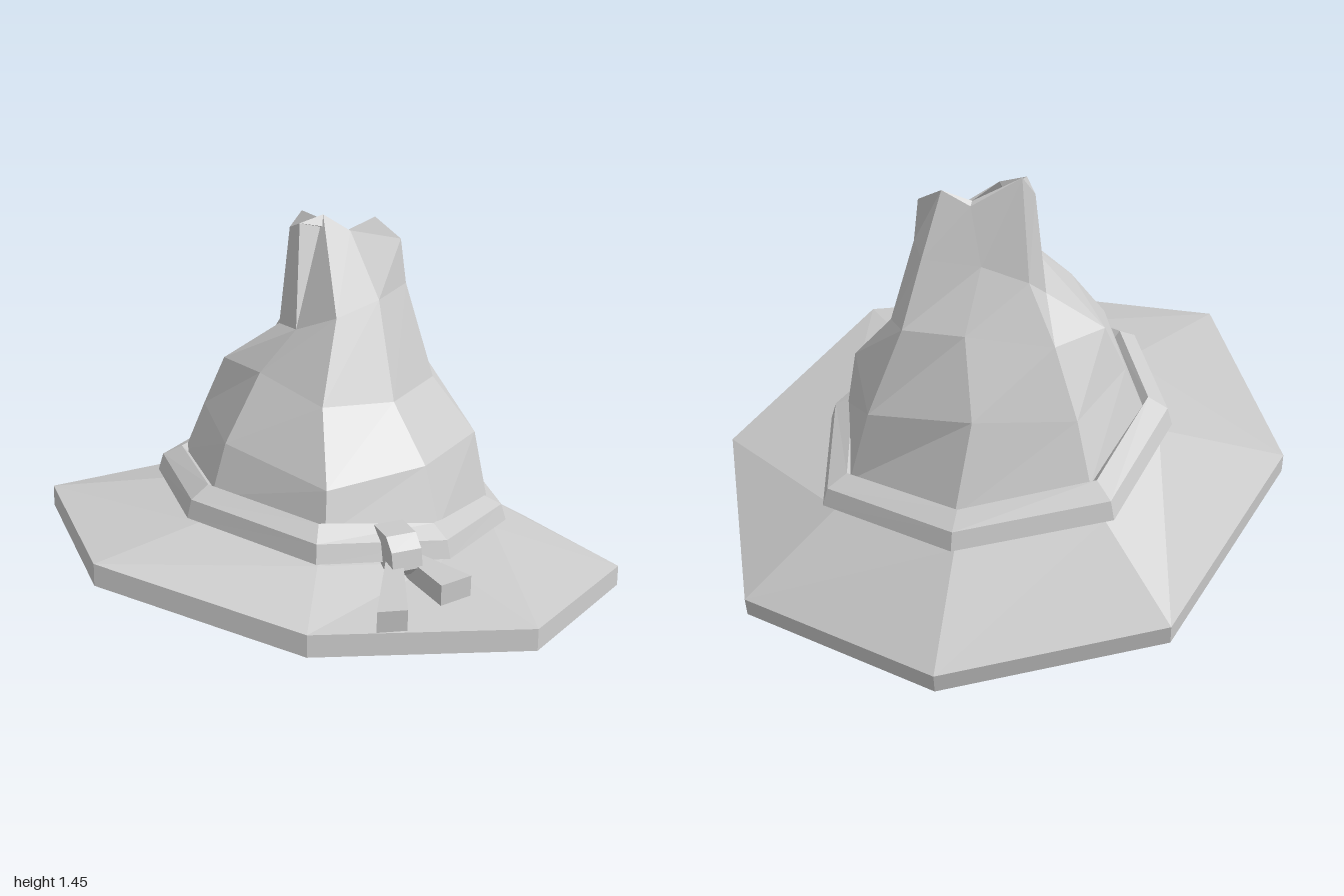
import * as THREE from 'three';

const material = new THREE.MeshStandardMaterial({ color: 0xcccccc, flatShading: true, side: THREE.DoubleSide });

// Skin a stack of equal-length rings of [x, y, z], running from +x towards +z
function loft(rings) {
  const pos = [];
  const same = (p, q) => p.every((v, k) => v === q[k]);
  const tri = (p, q, r) => {
    if (!same(p, q) && !same(q, r) && !same(r, p)) pos.push(...p, ...q, ...r);
  };
  for (let k = 0; k + 1 < rings.length; k++) {
    const a = rings[k], b = rings[k + 1], n = a.length;
    for (let i = 0; i < n; i++) {
      const j = (i + 1) % n;
      tri(a[j], a[i], b[i]);
      tri(a[j], b[i], b[j]);
    }
  }
  const g = new THREE.BufferGeometry();
  g.setAttribute('position', new THREE.Float32BufferAttribute(pos, 3));
  g.computeVertexNormals();
  return g;
}

const point = (p) => Array(8).fill(p);

// Tilted plane on which the band sits
const bandHeight = (x, z) => 0.465 - 0.12 * x + 0.13 * z;

// Octagon of the band, [x, z]
const bandOutline = [
  [0.6, -0.02], [0.41, 0.43], [0, 0.645], [-0.44, 0.41],
  [-0.62, -0.02], [-0.5, -0.5], [-0.01, -0.67], [0.48, -0.48],
];
const bandRing = (scale, lift) => bandOutline.map(([x, z]) =>
  [x * scale, bandHeight(x, z) + lift, z * scale]);

// Flat slab: outline of [x, z] corners raised from y by height h
function slab(outline, y, h) {
  const shape = new THREE.Shape(outline.map(([x, z]) => new THREE.Vector2(x, -z)));
  const g = new THREE.ExtrudeGeometry(shape, { depth: h, bevelEnabled: false });
  g.rotateX(-Math.PI / 2);
  g.translate(0, y, 0);
  return g;
}

export function createModel() {
  const hat = new THREE.Group();
  hat.name = 'hat';
  const add = (name, geometry) => {
    const mesh = new THREE.Mesh(geometry, material);
    mesh.name = name;
    hat.add(mesh);
    return mesh;
  };

  // Brim: tilted octagon with a thick rim, rising to the band
  const rim = [
    [1, 0.16, 0], [0.68, 0.35, 0.76], [0, 0.4, 0.935], [-0.67, 0.5, 0.745],
    [-1, 0.39, 0], [-0.72, 0.17, -0.7], [-0.02, 0.03, -0.93], [0.7, 0, -0.68],
  ];
  const rimTop = rim.map(([x, y, z]) => [x, y + 0.07, z - 0.01]);
  add('brim', loft([point([0, 0.26, 0]), rim, rimTop, bandRing(0.93, -0.03), bandRing(0.8, -0.02)]));

  // Band: bevelled belt around the foot of the crown
  add('band', loft([bandRing(0.86, -0.025), bandRing(1, 0), bandRing(0.97, 0.06), bandRing(0.86, 0.095), bandRing(0.82, 0.07)]));

  // Crown: crumpled cone leaning back, ending in two small peaks
  const crownRings = [
    [[0.53, 0.47, -0.03], [0.37, 0.54, 0.35], [0.02, 0.6, 0.555], [-0.37, 0.62, 0.34],
      [-0.53, 0.6, -0.06], [-0.41, 0.53, -0.43], [0, 0.45, -0.58], [0.4, 0.42, -0.42]],
    [[0.48, 0.7, -0.07], [0.32, 0.73, 0.29], [0.02, 0.73, 0.5], [-0.33, 0.78, 0.28],
      [-0.46, 0.77, -0.08], [-0.35, 0.72, -0.36], [-0.03, 0.73, -0.46], [0.33, 0.68, -0.41]],
    [[0.33, 0.88, -0.12], [0.21, 0.9, 0.17], [-0.01, 0.93, 0.31], [-0.23, 0.98, 0.15],
      [-0.39, 0.93, -0.11], [-0.26, 0.94, -0.29], [0.02, 0.97, -0.34], [0.22, 0.98, -0.36]],
    [[0.23, 1.2, -0.16], [0.15, 1.2, 0.03], [0.02, 1.17, 0.14], [-0.12, 1.1, 0.06],
      [-0.2, 1.05, -0.14], [-0.16, 1.12, -0.22], [-0.01, 1.17, -0.24], [0.17, 1.2, -0.29]],
    [[0.21, 1.35, -0.17], [0.04, 1.37, -0.18], [-0.05, 1.43, -0.16], [-0.12, 1.42, -0.08],
      [-0.16, 1.39, -0.14], [-0.12, 1.445, -0.15], [0.03, 1.36, -0.21], [0.12, 1.41, -0.22]],
  ];
  add('crown', loft([...crownRings, point([0.03, 1.37, -0.19])]));

  // Knot: bevelled block wrapped over the band
  const profile = [[-0.09, 0], [0.03, -0.05], [0.07, -0.01], [0.055, 0.05], [0.01, 0.085], [-0.09, 0.08]];
  const knotShape = new THREE.Shape(profile.map(([u, y]) => new THREE.Vector2(u, y)));
  const knotGeometry = new THREE.ExtrudeGeometry(knotShape, { depth: 0.1, bevelEnabled: false });
  knotGeometry.translate(0, 0, -0.05);
  knotGeometry.rotateY(-Math.PI / 2 + 0.45);
  add('knot', knotGeometry).position.set(0.25, 0.525, 0.53);

  // Ribbon tails: widening slabs lying on the brim
  add('frontRibbonTail', slab([[0.21, 0.52], [0.26, 0.52], [0.29, 0.85], [0.2, 0.87]], 0.455, 0.07));
  add('sideRibbonTail', slab([[0.27, 0.52], [0.31, 0.49], [0.475, 0.62], [0.385, 0.69]], 0.45, 0.07));

  return hat;
}
